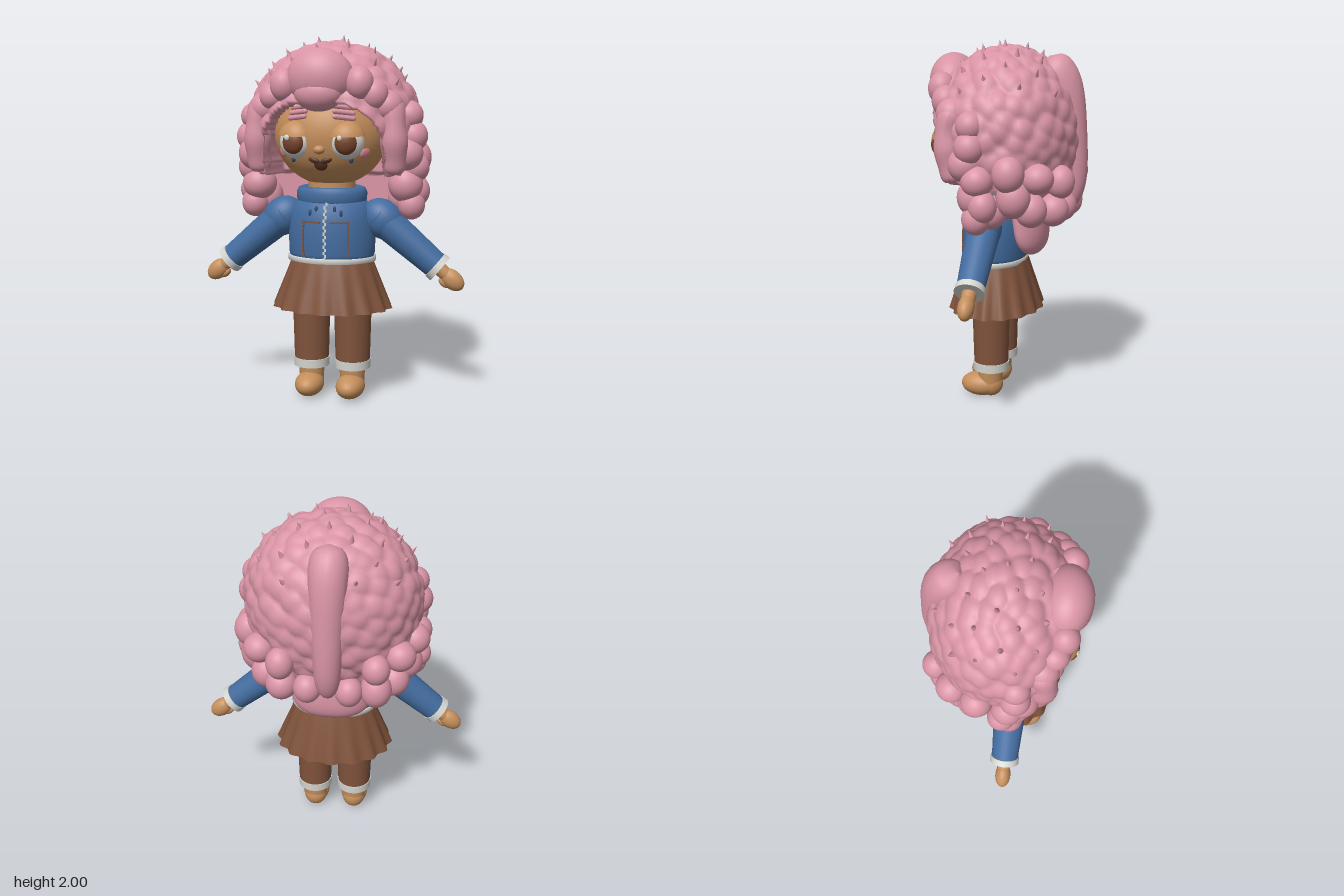
import * as THREE from 'three';
import { mergeVertices } from 'three/addons/utils/BufferGeometryUtils.js';

const mat = (name, color, side = THREE.FrontSide) => {
  const m = new THREE.MeshStandardMaterial({ color, side });
  m.name = name;
  return m;
};
const V = (x, y, z) => new THREE.Vector3(x, y, z);

export function createModel() {
  const D = THREE.DoubleSide;
  const M = {
    hair: mat('hairPink', 0xd994a5), skin: mat('skin', 0xc58f5c, D), blue: mat('jacketBlue', 0x436c9f, D),
    brown: mat('clothBrown', 0x80533c, D), white: mat('trimWhite', 0xd6d6d1, D), iris: mat('irisBrown', 0x75432a),
    dark: mat('mouthBrown', 0x54301f), cheek: mat('cheekPink', 0xd57f88), navy: mat('darkBlue', 0x2c4a75),
  };
  const root = new THREE.Group();
  const add = (name, geo, m, pos = [0, 0, 0], scale = [1, 1, 1], rot = [0, 0, 0]) => {
    const mesh = new THREE.Mesh(geo, m);
    mesh.name = name;
    mesh.position.set(...pos);
    mesh.scale.set(...scale);
    mesh.rotation.set(...rot);
    root.add(mesh);
    return mesh;
  };
  const ball = new THREE.SphereGeometry(1, 28, 20);
  const lathe = (pts, n = 40) =>
    new THREE.LatheGeometry(pts.map(p => new THREE.Vector2(...p)), n);
  // Tube whose radius follows a rule along its path
  const taperTube = (pts, rule, n = 30, m = 16) => {
    const curve = new THREE.CatmullRomCurve3(pts.map(p => V(...p)));
    const g = new THREE.TubeGeometry(curve, n, 1, m);
    const p = g.attributes.position, v = V(0, 0, 0);
    for (let i = 0; i <= n; i++) {
      const c = curve.getPointAt(i / n);
      const r = rule(i / n) * Math.pow(Math.max(0, 1 - Math.pow(2 * i / n - 1, 8)), 0.5);
      for (let j = 0; j <= m; j++) {
        const k = i * (m + 1) + j;
        v.fromBufferAttribute(p, k).sub(c).multiplyScalar(r).add(c);
        p.setXYZ(k, v.x, v.y, v.z);
      }
    }
    g.computeVertexNormals();
    return g;
  };

  // Feet, legs and trouser cuffs
  for (const s of [-1, 1]) {
    add('foot', ball, M.skin, [s * 0.117, 0.068, 0.125], [0.08, 0.068, 0.115]);
    add('heel', ball, M.skin, [s * 0.117, 0.075, 0.07], [0.068, 0.075, 0.07]);
    add('ankle', new THREE.CylinderGeometry(0.075, 0.066, 0.14, 24), M.skin, [s * 0.117, 0.13, 0.073]);
    add('trouserLeg', new THREE.CylinderGeometry(0.11, 0.096, 0.5, 32), M.brown, [s * 0.118, 0.45, 0.067]);
    add('trouserCuff', new THREE.CylinderGeometry(0.101, 0.099, 0.048, 32), M.white, [s * 0.118, 0.188, 0.067]);
  }

  // Pleated skirt
  const skirt = lathe([[0.335, 0.51], [0.305, 0.59], [0.27, 0.68], [0.235, 0.77], [0.21, 0.82]], 128);
  const sp = skirt.attributes.position;
  for (let i = 0; i < sp.count; i++) {
    const x = sp.getX(i), y = sp.getY(i), z = sp.getZ(i);
    const k = 1 + 0.035 * Math.cos(16 * Math.atan2(z, x)) * (0.82 - y) / 0.31;
    sp.setXYZ(i, x * k * 0.98, y, z * k * 0.77);
  }
  skirt.computeVertexNormals();
  add('skirt', skirt, M.brown, [0, 0, 0.06]);

  // Jacket body with hem and rolled collar
  const profile = [[0.2, 0.775], [0.228, 0.785], [0.24, 0.82], [0.242, 0.92], [0.235, 1.0], [0.222, 1.06], [0.19, 1.11], [0.13, 1.14]];
  add('jacket', lathe(profile, 48), M.blue, [0, 0, 0.07], [1, 1, 0.75]);
  add('jacketHem', lathe([[0.232, 0.772], [0.245, 0.775], [0.246, 0.798], [0.238, 0.803]], 48), M.white, [0, 0, 0.07], [1, 1, 0.75]);
  add('collar', lathe([[0.15, 1.08], [0.18, 1.085], [0.194, 1.11], [0.196, 1.15], [0.185, 1.175], [0.165, 1.183], [0.14, 1.17]], 40),
    M.blue, [0, 0, 0.07], [1, 1, 0.78]);
  add('neck', new THREE.CylinderGeometry(0.13, 0.13, 0.16, 24), M.skin, [0, 1.17, 0.07]);

  // Front of the jacket at a given x and y
  const jacketZ = (x, y) => {
    let i = 0;
    while (i < profile.length - 2 && profile[i + 1][1] < y) i++;
    const [r0, y0] = profile[i], [r1, y1] = profile[i + 1];
    const r = r0 + (r1 - r0) * (y - y0) / (y1 - y0);
    return 0.07 + 0.75 * Math.sqrt(r * r - x * x);
  };
  const stitch = new THREE.BoxGeometry(0.011, 0.017, 0.009);
  for (let i = 0; i < 18; i++) {
    const y = 0.8 + i * 0.0175;
    add('zipTooth', stitch, M.white, [i % 2 ? 0.004 : -0.004, y, jacketZ(0, y)]);
  }
  for (const s of [-1, 1]) {
    for (let i = 0; i < 9; i++) {
      const y = 0.82 + i * 0.022;
      add('pocketStitch', stitch, M.brown, [s * 0.123, y, jacketZ(0.123, y)], [1, 1.1, 1], [0, s * 0.4, 0]);
    }
    for (let i = 0; i < 6; i++) {
      const x = 0.035 + i * 0.0165;
      add('pocketEdge', stitch, M.brown, [s * x, 1.0, jacketZ(x, 1.0)], [1.6, 0.55, 1], [0, s * x * 3, 0]);
    }
    for (const [x, y] of [[0.05, 1.07], [0.085, 1.05]])
      add('jacketDrop', ball, M.navy, [s * x, y, jacketZ(x, y)], [0.009, 0.02, 0.006]);
  }

  // Arms
  for (const s of [-1, 1]) {
    const arm = new THREE.Group();
    arm.name = s > 0 ? 'leftArm' : 'rightArm';
    arm.position.set(s * 0.26, 1.025, 0.065);
    arm.rotation.z = s * 0.876;
    root.add(arm);
    const part = (name, geo, m, y, sc = [1, 1, 1], x = 0) => {
      const mesh = add(name, geo, m, [x, -y, 0], sc);
      arm.add(mesh);
    };
    part('shoulderPuff', ball, M.blue, 0.03, [0.105, 0.125, 0.095]);
    part('sleeve', new THREE.CylinderGeometry(0.094, 0.073, 0.42, 32), M.blue, 0.21);
    part('sleeveCuff', new THREE.CylinderGeometry(0.079, 0.081, 0.036, 32), M.white, 0.425);
    part('wrist', new THREE.CylinderGeometry(0.04, 0.036, 0.08, 20), M.skin, 0.46);
    part('hand', ball, M.skin, 0.53, [0.052, 0.074, 0.043]);
    part('thumb', ball, M.skin, 0.51, [0.022, 0.036, 0.024], -s * 0.042);
  }

  // Head and face
  add('head', new THREE.SphereGeometry(1, 48, 32), M.skin, [0, 1.47, 0.08], [0.31, 0.285, 0.29]);
  const faceZ = (x, y) => 0.08 + 0.29 * Math.sqrt(Math.max(0, 1 - (x / 0.31) ** 2 - ((y - 1.47) / 0.285) ** 2));
  const lid = new THREE.SphereGeometry(1, 32, 14, 0, Math.PI * 2, 0, 1.28);
  const brow = new THREE.CapsuleGeometry(0.013, 0.1, 4, 10);
  for (const s of [-1, 1]) {
    add('eyeWhite', ball, M.white, [s * 0.136, 1.437, 0.31], [0.09, 0.09, 0.07], [0, s * 0.2, 0]);
    add('iris', ball, M.iris, [s * 0.14, 1.436, 0.353], [0.06, 0.062, 0.04], [0, s * 0.2, 0]);
    add('eyeGlint', ball, M.white, [s * 0.14 - 0.027, 1.462, 0.385], [0.014, 0.015, 0.008]);
    add('eyelid', lid, M.skin, [s * 0.136, 1.443, 0.31], [0.1, 0.105, 0.081], [0.08, s * 0.2, 0]);
    for (let i = 0; i < 3; i++) {
      const y = 1.565 + i * 0.027, x = 0.125 - i * 0.004;
      add('eyebrow', brow, M.hair, [s * x, y, faceZ(x, y) + 0.004], [1, 1, 1], [0, s * 0.5, Math.PI / 2 - s * 0.12]);
    }
    add('cheek', ball, M.cheek, [s * 0.222, 1.378, faceZ(0.222, 1.378)], [0.034, 0.027, 0.012], [0.3, s * 0.9, 0]);
    add('tearMark', ball, M.navy, [s * 0.155, 1.345, faceZ(0.155, 1.345)], [0.012, 0.018, 0.012]);
    add('mouthCorner', ball, M.dark, [s * 0.032, 1.342, faceZ(0.032, 1.342)], [0.032, 0.015, 0.012], [0.3, s * 0.15, s * 0.25]);
  }
  add('nose', ball, M.skin, [0, 1.4, 0.365], [0.03, 0.023, 0.028]);
  add('mouth', ball, M.dark, [0, 1.318, faceZ(0, 1.318)], [0.036, 0.032, 0.014], [0.4, 0, 0]);

  // Curly hair cap: bumps around evenly spread seeds, with the face left open
  let seed = 7;
  const rnd = () => (seed = (seed * 16807) % 2147483647) / 2147483647;
  const curls = [];
  for (let i = 0; i < 270; i++) {
    const y = 1 - 2 * (i + 0.5) / 270, a = i * 2.39996, r = Math.sqrt(1 - y * y);
    curls.push(V(r * Math.cos(a) + (rnd() - 0.5) * 0.13, y + (rnd() - 0.5) * 0.13, r * Math.sin(a) + (rnd() - 0.5) * 0.13).normalize());
  }
  const onCap = (d, k) => {
    const w = d.y < 0 ? Math.pow(1 - d.y * d.y, -0.2) : 1;
    return V(d.x * 0.465 * w * k, 1.5 + d.y * 0.452 * k, d.z * 0.395 * w * k);
  };
  let cap = new THREE.SphereGeometry(1, 144, 96);
  cap.deleteAttribute('uv');
  cap.deleteAttribute('normal');
  cap = mergeVertices(cap);
  const cp = cap.attributes.position, d = V(0, 0, 0);
  for (let i = 0; i < cp.count; i++) {
    d.fromBufferAttribute(cp, i).normalize();
    d.y = THREE.MathUtils.clamp(d.y, -0.995, 1);
    let near = 9;
    for (const c of curls) near = Math.min(near, c.distanceToSquared(d));
    const p = onCap(d, 0.985 + 0.06 * Math.max(0, 1 - near / 0.03));
    const face = Math.abs(p.x) < 0.31 && (p.y < 1.42 || (p.x / 0.31) ** 2 + ((p.y - 1.42) / 0.225) ** 2 < 1);
    if (face) p.z = Math.min(p.z, 0);
    if (p.y < 1.25) p.z = Math.min(p.z, -0.03);
    cp.setXYZ(i, p.x, p.y, p.z);
  }
  cap.computeVertexNormals();
  add('curlyHair', cap, M.hair);

  // Small pointed tufts over the crown
  for (let i = 0; i < 34; i++) {
    const y = 0.995 - i * 0.0165, a = i * 2.39996, r = Math.sqrt(1 - y * y);
    const dir = V(r * Math.cos(a), y, r * Math.sin(a));
    const tuft = add('hairTuft', new THREE.ConeGeometry(0.019, 0.055, 7), M.hair, onCap(dir, 1.05).toArray());
    tuft.quaternion.setFromUnitVectors(V(0, 1, 0), V(dir.x, dir.y + 0.4, dir.z).normalize());
  }

  // Fringe
  add('fringe', ball, M.hair, [-0.01, 1.765, 0.295], [0.18, 0.16, 0.135], [0.15, 0, 0]);
  add('fringeTip', ball, M.hair, [-0.01, 1.69, 0.335], [0.13, 0.095, 0.095]);

  // Curls hanging on both sides and around the back: x, y, z, radius
  const lumps = [
    [0.2, 1.74, 0.31, 0.075], [0.27, 1.68, 0.27, 0.075], [0.33, 1.62, 0.22, 0.085],
    [0.43, 1.57, 0.1, 0.075], [0.45, 1.46, 0.1, 0.08], [0.42, 1.37, 0.13, 0.09], [0.45, 1.29, 0.06, 0.085],
    [0.41, 1.2, 0.08, 0.095], [0.46, 1.16, 0.03, 0.075], [0.44, 1.09, 0.07, 0.075], [0.38, 1.12, 0.0, 0.08],
    [0.44, 1.33, -0.1, 0.085], [0.4, 1.2, -0.12, 0.09], [0.34, 1.13, -0.2, 0.085], [0.37, 1.3, -0.24, 0.085],
    [0.25, 1.12, -0.3, 0.085], [0.25, 1.27, -0.34, 0.075], [0.11, 1.12, -0.33, 0.075],
  ];
  for (const s of [-1, 1]) {
    for (const [x, y, z, r] of lumps)
      add('curl', ball, M.hair, [s * x, y + s * 0.006 - 0.004, z], [r, r * (0.95 + rnd() * 0.25), r]);
    add('sideLock', taperTube([[s * 0.34, 1.66, 0.2], [s * 0.365, 1.55, 0.235], [s * 0.37, 1.4, 0.23], [s * 0.365, 1.265, 0.2]],
      t => 0.069 + 0.005 * Math.sin(t * 14)), M.hair);
  }

  // Smooth back lock and the panel of hair under it
  add('backLock', taperTube([[0, 1.91, -0.23], [0, 1.76, -0.31], [0, 1.5, -0.355], [0, 1.25, -0.37], [0, 1.08, -0.34]],
    t => 0.112 - 0.05 * t, 40, 20), M.hair);
  const panel = new THREE.SphereGeometry(1, 40, 28);
  const pp = panel.attributes.position;
  const square = v => Math.sign(v) * Math.pow(Math.abs(v), 0.65);
  for (let i = 0; i < pp.count; i++) {
    const x = square(pp.getX(i)) * 0.23;
    pp.setXYZ(i, x, square(pp.getY(i)) * 0.2, pp.getZ(i) * 0.075 + x * x * 0.8);
  }
  panel.computeVertexNormals();
  add('backHairPanel', panel, M.hair, [0, 1.03, -0.15], [1, 1, 1], [0.12, 0, 0]);

  return root;
}
